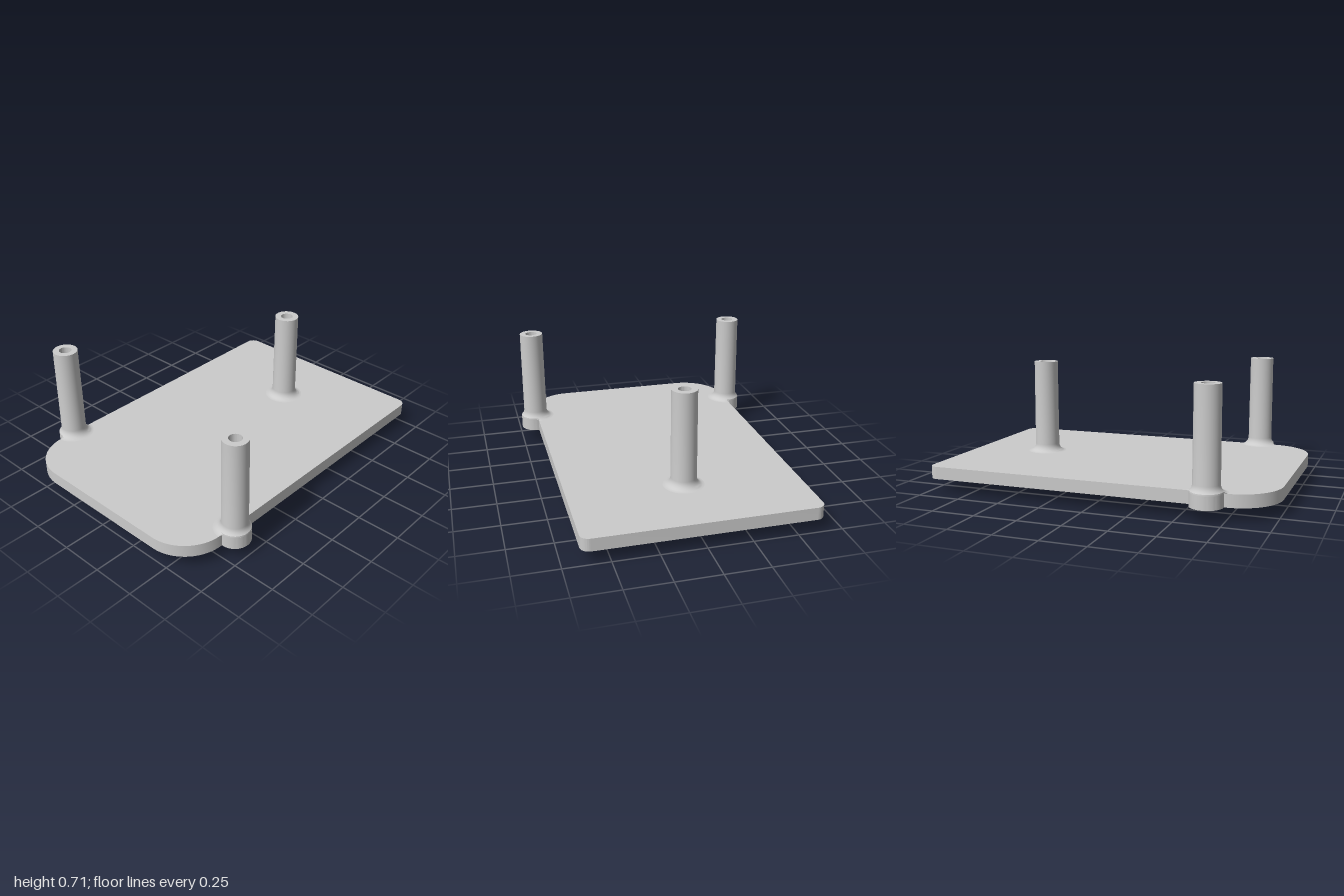
import * as THREE from 'three';
import { toCreasedNormals } from 'three/addons/utils/BufferGeometryUtils.js';

const BOTTOM = 0.075, TOP = 0.147, POST_TOP = 0.706;
const HALF = 0.652, LUG_X = 0.66, LUG_Z = 0.652, LUG_R = 0.09;
const material = new THREE.MeshStandardMaterial({ color: 0xcccccc });

function add(group, name, geometry) {
  const mesh = new THREE.Mesh(toCreasedNormals(geometry, 0.6), material);
  mesh.name = name;
  group.add(mesh);
  return mesh;
}

// Plate outline in x/z with rounded corners and a round lug on each long side
function plateGeometry() {
  const rb = 0.05, rf = 0.25, pi = Math.PI;
  const a = Math.acos((HALF - LUG_X) / LUG_R);
  const s = new THREE.Shape();
  s.absarc(-HALF + rb, -1 + rb, rb, pi, 1.5 * pi);
  s.absarc(HALF - rb, -1 + rb, rb, 1.5 * pi, 2 * pi);
  s.absarc(LUG_X, LUG_Z, LUG_R, -a, a);
  s.absarc(HALF - rf, 1 - rf, rf, 0, 0.5 * pi);
  s.absarc(-HALF + rf, 1 - rf, rf, 0.5 * pi, pi);
  s.absarc(-LUG_X, LUG_Z, LUG_R, pi - a, pi + a);
  s.closePath();
  const g = new THREE.ExtrudeGeometry(s, { depth: TOP - BOTTOM, bevelEnabled: false, curveSegments: 16 });
  return g.rotateX(Math.PI / 2).translate(0, TOP, 0);
}

// Hollow post with a flared fillet; the flare is trimmed flush with the lug wall
function postGeometry(x, z) {
  const profile = [];
  for (let i = 0; i <= 7; i++) {
    const t = (i / 7) * Math.PI / 2;
    profile.push([0.116 - 0.043 * Math.sin(t), TOP + 0.046 * (1 - Math.cos(t))]);
  }
  profile.push([0.071, POST_TOP], [0.036, POST_TOP], [0.036, 0.16], [0, 0.16]);
  const g = new THREE.LatheGeometry(profile.map(p => new THREE.Vector2(...p)), 40);
  const pos = g.attributes.position;
  for (let i = 0; i < pos.count; i++) {
    const px = pos.getX(i), pz = pos.getZ(i), r = Math.hypot(px, pz);
    if (r > LUG_R && Math.abs(x + px) > HALF) {
      pos.setX(i, px * LUG_R / r);
      pos.setZ(i, pz * LUG_R / r);
    }
  }
  return g.translate(x, 0, z);
}

// Tapered rib under the plate
function ribGeometry() {
  const half = [[0.3, 0], [0.4, 0.02], [0.485, BOTTOM]];
  const outline = [...half, ...half.map(([x, y]) => [-x, y]).reverse()];
  const s = new THREE.Shape(outline.map(p => new THREE.Vector2(...p)));
  return new THREE.ExtrudeGeometry(s, { depth: 0.064, bevelEnabled: false }).translate(0, 0, 0.625);
}

export function createModel() {
  const group = new THREE.Group();
  group.name = 'plateWithPosts';
  add(group, 'plate', plateGeometry());
  add(group, 'rib', ribGeometry());
  add(group, 'leftPost', postGeometry(LUG_X, LUG_Z));
  add(group, 'rightPost', postGeometry(-LUG_X, LUG_Z));
  add(group, 'backPost', postGeometry(0, -0.558));
  return group;
}
